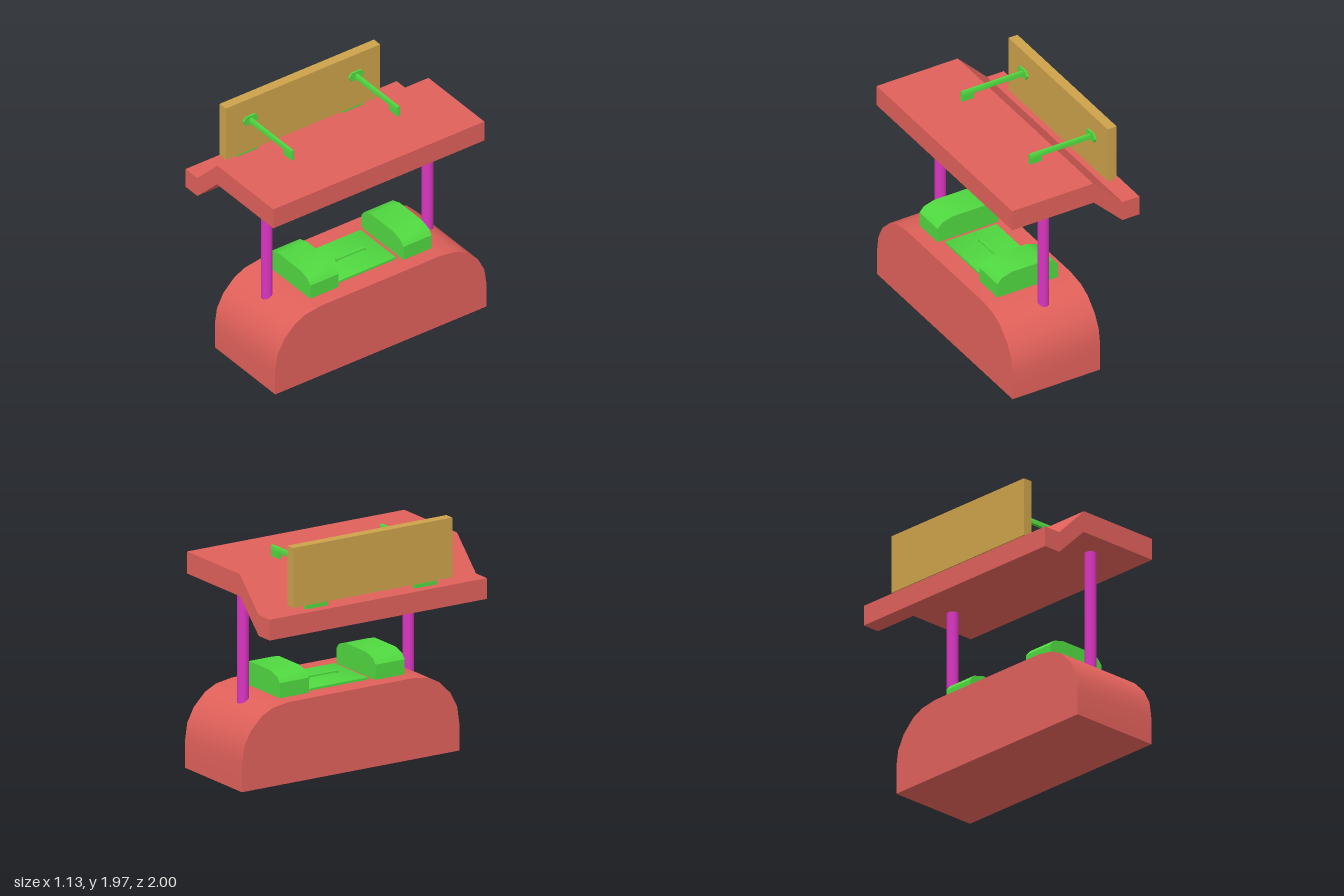
import * as THREE from 'three';
import { toCreasedNormals } from 'three/addons/utils/BufferGeometryUtils.js';

const red = new THREE.MeshStandardMaterial({ color: 0xe0605a });
const green = new THREE.MeshStandardMaterial({ color: 0x50d840 });
const magenta = new THREE.MeshStandardMaterial({ color: 0xd935c0 });
const tan = new THREE.MeshStandardMaterial({ color: 0xcca24a });

function add(parent, name, geometry, material) {
  const mesh = new THREE.Mesh(geometry, material);
  mesh.name = name;
  parent.add(mesh);
  return mesh;
}

function extrude(points, depth) {
  const shape = new THREE.Shape(points.map(([a, b]) => new THREE.Vector2(a, b)));
  return toCreasedNormals(new THREE.ExtrudeGeometry(shape, { depth, bevelEnabled: false }), 0.7);
}

// Profile in (x, y), swept from z0 to z1
const alongZ = (points, z0, z1) => extrude(points, z1 - z0).translate(0, 0, z0);

// Profile in (z, y), swept from x0 to x1
const alongX = (points, x0, x1) => extrude(points, x1 - x0).rotateY(-Math.PI / 2).translate(x1, 0, 0);

// Box given by its limits
const box = (x0, x1, y0, y1, z0, z1) =>
  new THREE.BoxGeometry(x1 - x0, y1 - y0, z1 - z0)
    .translate((x0 + x1) / 2, (y0 + y1) / 2, (z0 + z1) / 2);

export function createModel() {
  const model = new THREE.Group();
  model.name = 'shelteredIsland';

  // Rounded base, mirrored about its own middle
  const half = [[0.993, 0], [0.993, 0.22], [0.973, 0.355], [0.913, 0.47],
    [0.81, 0.573], [0.71, 0.622], [0.565, 0.645]];
  const outline = [...half, ...half.map(([z, y]) => [-z, y]).reverse()];
  add(model, 'base', alongX(outline, -0.213, 0.565), red).position.z = -0.007;

  // Stepped roof
  add(model, 'roof', alongZ([[-0.57, 1.29], [-0.42, 1.29], [-0.165, 1.54], [0.56, 1.54],
    [0.56, 1.715], [-0.16, 1.715], [-0.42, 1.455], [-0.57, 1.455]], -0.985, 1), red);

  // Columns
  for (const z of [0.757, -0.753]) {
    const column = new THREE.CylinderGeometry(0.045, 0.045, 1.04, 20);
    add(model, 'column', column, magenta).position.set(0.143, 1.02, z);
  }

  // Chamfered housings on the base
  const housing = [[-0.095, 0.64], [0.442, 0.64], [0.442, 0.765], [0.405, 0.808],
    [0.315, 0.835], [0.03, 0.835], [-0.058, 0.808], [-0.095, 0.765]];
  for (const z of [0.3, -0.575]) add(model, 'housing', alongZ(housing, z, z + 0.266), green);

  // Hatch with a raised handle
  add(model, 'hatch', alongX([[0.265, 0.64], [0.265, 0.657], [0.255, 0.663], [-0.265, 0.663],
    [-0.275, 0.657], [-0.275, 0.64]], -0.055, 0.4), green);
  const handle = new THREE.Group();
  handle.name = 'hatchHandle';
  model.add(handle);
  add(handle, 'handleBar', box(0.16, 0.187, 0.674, 0.685, -0.14, 0.13), green);
  for (const z of [-0.14, 0.12]) add(handle, 'handleLeg', box(0.16, 0.187, 0.66, 0.674, z, z + 0.01), green);

  // Sign board
  add(model, 'signBoard', box(-0.52, -0.44, 1.495, 1.97, -0.735, 0.717), tan);

  // Sign supports: lower block, wall plate, and an arm with a foot on the roof
  for (const z of [0.492, -0.503]) {
    const support = new THREE.Group();
    support.name = 'signSupport';
    support.position.z = z;
    model.add(support);
    add(support, 'lowerBlock', box(-0.495, -0.47, 1.45, 1.5, -0.1, 0.1), green);
    add(support, 'wallPlate', alongX([[0.07, 1.785], [0.045, 1.82], [-0.045, 1.82],
      [-0.07, 1.785], [-0.045, 1.745], [0.045, 1.745]], -0.445, -0.425), green);
    add(support, 'arm', alongX([[0.013, 1.76], [0.013, 1.79], [0.007, 1.802], [-0.007, 1.802],
      [-0.013, 1.79], [-0.013, 1.76]], -0.43, 0.115), green);
    add(support, 'armFoot', box(0.01, 0.115, 1.71, 1.762, -0.013, 0.013), green);
  }

  return model;
}
